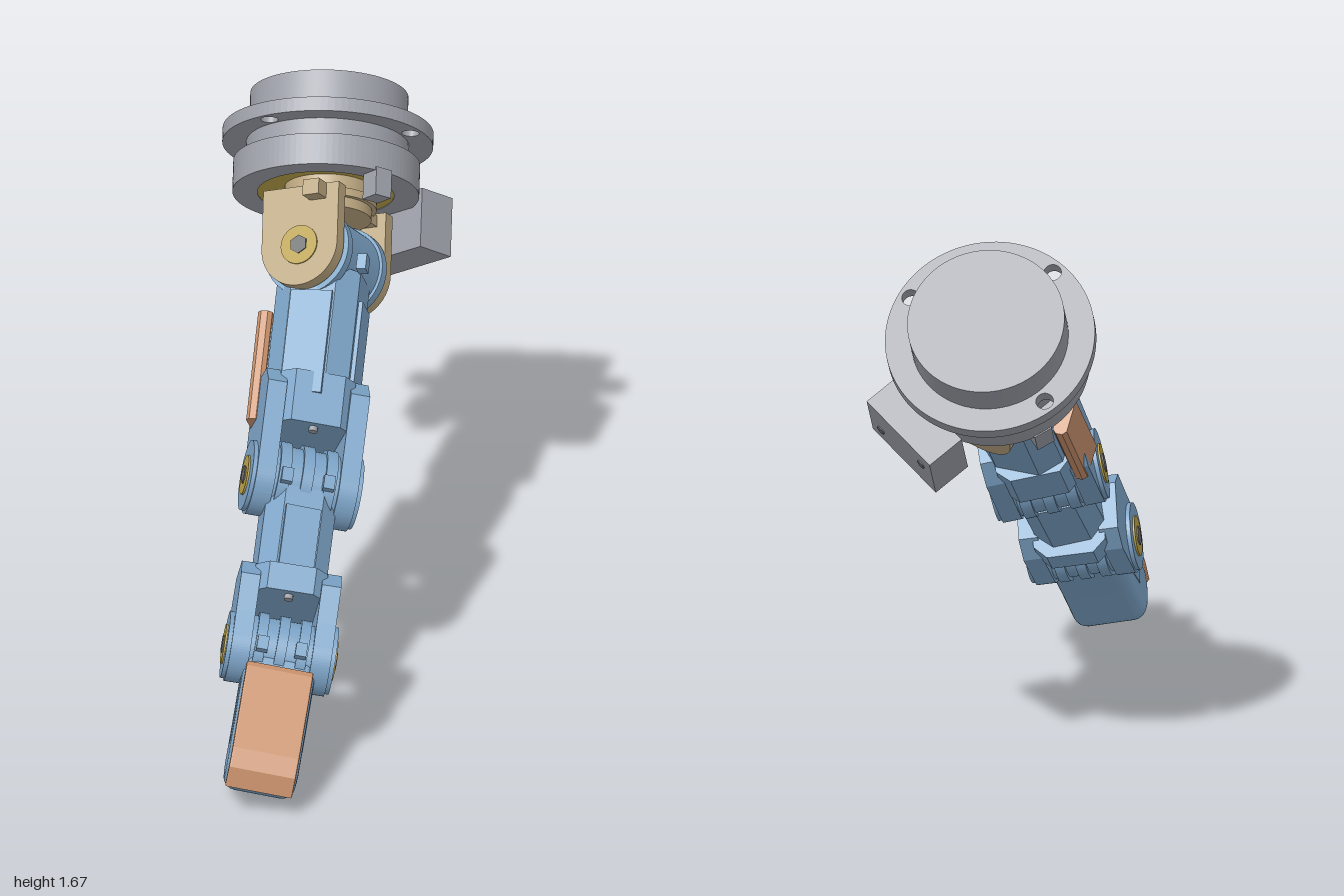
import * as THREE from 'three';

const mat = (name, color) => Object.assign(new THREE.MeshStandardMaterial({ color }), { name });
const V = (x, y, z) => new THREE.Vector3(x, y, z);
const rad = THREE.MathUtils.degToRad;

export function createModel() {
  const blue = mat('blue shell', 0x7ca3c6);
  const grey = mat('grey metal', 0x9a9da5);
  const tan = mat('tan bracket', 0xb9a47e);
  const orange = mat('orange pad', 0xc8916c);
  const gold = mat('gold bearing', 0xb8a048);
  const dark = mat('dark pin', 0x6c6d70);

  const model = new THREE.Group();
  model.name = 'roboticFinger';

  // Group whose x is sideways, y is the back of the finger and z points to the tip
  function frame(name, origin, side, dir) {
    const d = dir.clone().normalize();
    const n = d.clone().cross(side).normalize();
    const u = n.clone().cross(d);
    const g = new THREE.Group();
    g.name = name;
    g.setRotationFromMatrix(new THREE.Matrix4().makeBasis(u, n, d));
    g.position.copy(origin);
    model.add(g);
    return g;
  }
  // Child group rolled about the finger's length
  function rolled(parent, name, degrees) {
    const g = new THREE.Group();
    g.name = name;
    g.rotation.z = rad(degrees);
    parent.add(g);
    return g;
  }
  function add(g, name, geo, m, x = 0, y = 0, z = 0) {
    const mesh = new THREE.Mesh(geo, m);
    mesh.name = name;
    mesh.position.set(x, y, z);
    g.add(mesh);
    return mesh;
  }
  const box = (w, h, d) => new THREE.BoxGeometry(w, h, d);
  // Cylinder along x, y or z
  function cyl(axis, r, len, seg = 40) {
    const c = new THREE.CylinderGeometry(r, r, len, seg);
    if (axis === 'x') c.rotateZ(Math.PI / 2);
    if (axis === 'z') c.rotateX(Math.PI / 2);
    return c;
  }
  // Side profile drawn in (z, y) and given a width along x
  function sideExtrude(shape, width, bevel = 0) {
    const depth = width - 2 * bevel;
    const e = new THREE.ExtrudeGeometry(shape, {
      depth, curveSegments: 20, bevelEnabled: bevel > 0,
      bevelSize: bevel, bevelThickness: bevel, bevelOffset: -bevel, bevelSegments: 5,
    });
    return e.translate(0, 0, -depth / 2).rotateY(-Math.PI / 2);
  }
  const poly = (pts) => new THREE.Shape(pts.map(([x, y]) => new THREE.Vector2(x, y)));
  // Beam with chamfered corners, from z0 to z1
  function beam(w, h, c, z0, z1) {
    const a = w / 2, b = h / 2;
    const s = poly([[a - c, -b], [a, -b + c], [a, b - c], [a - c, b],
      [-a + c, b], [-a, b - c], [-a, -b + c], [-a + c, -b]]);
    return new THREE.ExtrudeGeometry(s, { depth: z1 - z0, bevelEnabled: false }).translate(0, 0, z0);
  }
  // Bearing face: gold ring with a dark hexagonal pin
  function bearing(g, axis, sign, dist) {
    const at = (k) => (axis === 'x' ? [sign * k, 0, 0] : [0, sign * k, 0]);
    add(g, 'bearing', cyl(axis, 0.062, 0.02), gold, ...at(dist));
    add(g, 'bearingPin', cyl(axis, 0.03, 0.02, 6), dark, ...at(dist + 0.004));
  }
  // Fork with two cheeks around the joint at the group's origin
  function fork(g, width, back, r) {
    const s = poly([[-back, -0.07], [-back + 0.07, -r], [0, -r]]);
    s.absarc(0, 0, r, -Math.PI / 2, Math.PI / 2, false);
    s.lineTo(-0.07, r + 0.005);
    s.lineTo(-back + 0.06, r + 0.02);
    s.lineTo(-back, 0.08);
    for (const k of [-1, 1]) {
      add(g, 'cheek', sideExtrude(s, 0.06), blue, k * (width / 2 - 0.042));
      add(g, 'cheekDisc', cyl('x', r * 0.93, 0.02), blue, k * (width / 2 - 0.009));
      bearing(g, 'x', k, width / 2 - 0.003);
    }
    add(g, 'forkBridge', beam(width - 0.11, 2 * r + 0.05, 0.04, -back + 0.01, -0.15), blue);
    add(g, 'bridgeScrew', cyl('z', 0.014, 0.02, 12), grey, 0, r - 0.01, -0.145);
  }
  // Ribbed hinge barrel with two cleats, at the start of a segment
  function barrel(g, width, r) {
    add(g, 'hingeBarrel', cyl('x', r - 0.012, width), blue);
    for (const x of [-0.33, 0, 0.33]) add(g, 'barrelRib', cyl('x', r, width * 0.16), blue, x * width);
    for (const x of [-0.3, 0.3]) add(g, 'cleat', box(0.035, 0.025, 0.045), blue, x * width, r, 0.03);
  }

  // Joint centres and sideways axes
  const knuckle = V(-0.065, 1.165, -0.405), middle = V(0.145, 0.697, 0.13), last = V(0.30, 0.348, 0.547);
  const midSide = V(0.83, -0.24, -0.50), lastSide = V(0.88, -0.19, -0.43);
  const between = (a, b) => b.clone().sub(a);

  // Mounting base, with z running towards the finger
  const base = frame('base', V(-0.096, 1.141, -0.445), V(0.9, 0.03, -0.425), V(0.33, -0.68, 0.655));
  add(base, 'rearDrum', cyl('z', 0.243, 0.125, 64), grey, 0, -0.02, -0.485);
  const disc = new THREE.Shape().absarc(0, 0, 0.324, 0, Math.PI * 2, false);
  for (const a of [23, 125, 226]) {
    const t = rad(a);
    disc.holes.push(new THREE.Path().absarc(0.285 * Math.cos(t), 0.285 * Math.sin(t), 0.027, 0, Math.PI * 2, true));
  }
  add(base, 'flange', new THREE.ExtrudeGeometry(disc, { depth: 0.045, bevelEnabled: false, curveSegments: 48 }),
    grey, 0, -0.015, -0.43);
  add(base, 'neck', cyl('z', 0.25, 0.08, 64), grey, 0, -0.01, -0.35);
  const ring = new THREE.Shape().absarc(0, 0, 0.287, 0, Math.PI * 2, false);
  ring.holes.push(new THREE.Path().absarc(0, 0, 0.21, 0, Math.PI * 2, true));
  add(base, 'frontRing', new THREE.ExtrudeGeometry(ring, { depth: 0.1, bevelEnabled: false, curveSegments: 48 }),
    grey, 0, 0, -0.32);
  add(base, 'bearingDisc', cyl('z', 0.215, 0.08, 48), gold, 0, 0, -0.262);
  for (const a of [48, 233]) {
    const t = rad(a);
    add(base, 'stopTab', box(0.065, 0.06, 0.09), grey, 0.258 * Math.cos(t), 0.258 * Math.sin(t), -0.185).rotation.z = t;
  }
  // Side housing with two screws
  const housing = rolled(base, 'sideHousing', -48);
  add(housing, 'housingBox', box(0.13, 0.3, 0.19), grey, 0.33, 0, -0.18);
  for (const k of [-1, 1]) add(housing, 'housingScrew', cyl('x', 0.015, 0.008, 16), dark, 0.395, k * 0.1, -0.18 + k * 0.03);

  // Knuckle bracket with two rounded plates around the knuckle barrel
  const bracket = rolled(base, 'knuckleBracket', 23);
  bracket.position.set(0.012, 0.05, 0.02);
  add(bracket, 'turntable', cyl('z', 0.135, 0.12), tan, 0, 0, -0.2);
  add(bracket, 'turntableRim', cyl('z', 0.15, 0.025), tan, 0, 0, -0.185);
  add(bracket, 'bracketBack', box(0.2, 0.36, 0.035), tan, 0, 0, -0.165);
  const plate = new THREE.Shape();
  plate.moveTo(-0.13, 0.19);
  plate.lineTo(-0.13, 0);
  plate.absarc(0, 0, 0.13, Math.PI, Math.PI * 2, false);
  plate.lineTo(0.13, 0.19);
  for (const k of [-1, 1]) {
    const p = new THREE.ExtrudeGeometry(plate, { depth: 0.045, bevelEnabled: false, curveSegments: 24 });
    p.translate(0, 0, -0.0225).rotateX(-Math.PI / 2);
    add(bracket, 'bracketPlate', p, tan, 0, k * 0.16, 0);
    bearing(bracket, 'y', k, 0.177);
    add(bracket, 'knuckleRim', cyl('y', 0.143, 0.03), blue, 0, k * 0.115, 0);
  }
  add(bracket, 'bracketTab', box(0.055, 0.07, 0.05), tan, 0.06, 0.2, -0.165);
  add(bracket, 'knuckleBarrel', cyl('y', 0.133, 0.26), blue);

  // First segment: a shaft rolled with the knuckle, and a fork square to the middle joint
  const firstDir = between(knuckle, middle);
  const l1 = firstDir.length();
  const first = rolled(frame('firstSegment', knuckle, midSide, firstDir), 'firstShaft', 24);
  for (const k of [-1, 1]) add(first, 'knuckleCleat', box(0.03, 0.045, 0.05), blue, k * 0.14, 0.09, 0.04);
  add(first, 'shaft', beam(0.26, 0.25, 0.06, 0.06, l1 - 0.2), blue);
  add(first, 'backRidge', box(0.13, 0.03, 0.34), blue, 0, 0.125, 0.32);
  add(first, 'sideRail', box(0.03, 0.1, 0.3), blue, 0.128, 0, 0.3);
  add(first, 'sidePad', beam(0.045, 0.13, 0.012, 0.19, 0.55), orange, -0.16, 0, 0);
  add(first, 'padMount', box(0.04, 0.09, 0.26), blue, -0.13, 0, 0.36);
  fork(frame('middleFork', middle, midSide, firstDir), 0.345, 0.33, 0.118);

  // Second segment
  const secondDir = between(middle, last);
  const l2 = secondDir.length();
  const second = frame('secondSegment', middle, midSide, secondDir);
  barrel(second, 0.22, 0.12);
  add(second, 'shaft', beam(0.22, 0.2, 0.05, 0.05, l2 - 0.15), blue);
  add(second, 'backRidge', box(0.11, 0.03, 0.2), blue, 0, 0.1, 0.22);
  fork(frame('lastFork', last, lastSide, secondDir), 0.335, 0.25, 0.112);

  // Fingertip with a rounded end
  const tip = frame('fingertip', last, lastSide, V(0.325, -0.8, 1));
  barrel(tip, 0.2, 0.112);
  const end = poly([[0, -0.08], [0.2, -0.1]]);
  end.lineTo(0.35, -0.122);
  end.absarc(0.35, -0.005, 0.117, -Math.PI / 2, Math.PI / 4, false);
  end.lineTo(0.38, 0.085);
  end.lineTo(0, 0.08);
  add(tip, 'tipBody', sideExtrude(end, 0.222, 0.04), blue, 0.008);
  for (const k of [-1, 1]) add(tip, 'tipSideRail', box(0.02, 0.05, 0.24), blue, 0.008 + k * 0.103, 0, 0.2);

  // Curved pad over the fingertip
  const pad = poly([[0.09, 0.07], [0.09, 0.1], [0.11, 0.113], [0.39, 0.117], [0.45, 0.1],
    [0.497, 0.055], [0.475, 0.04], [0.42, 0.075]]);
  add(tip, 'tipPad', sideExtrude(pad, 0.208, 0.005), orange, 0.006);

  return model;
}
